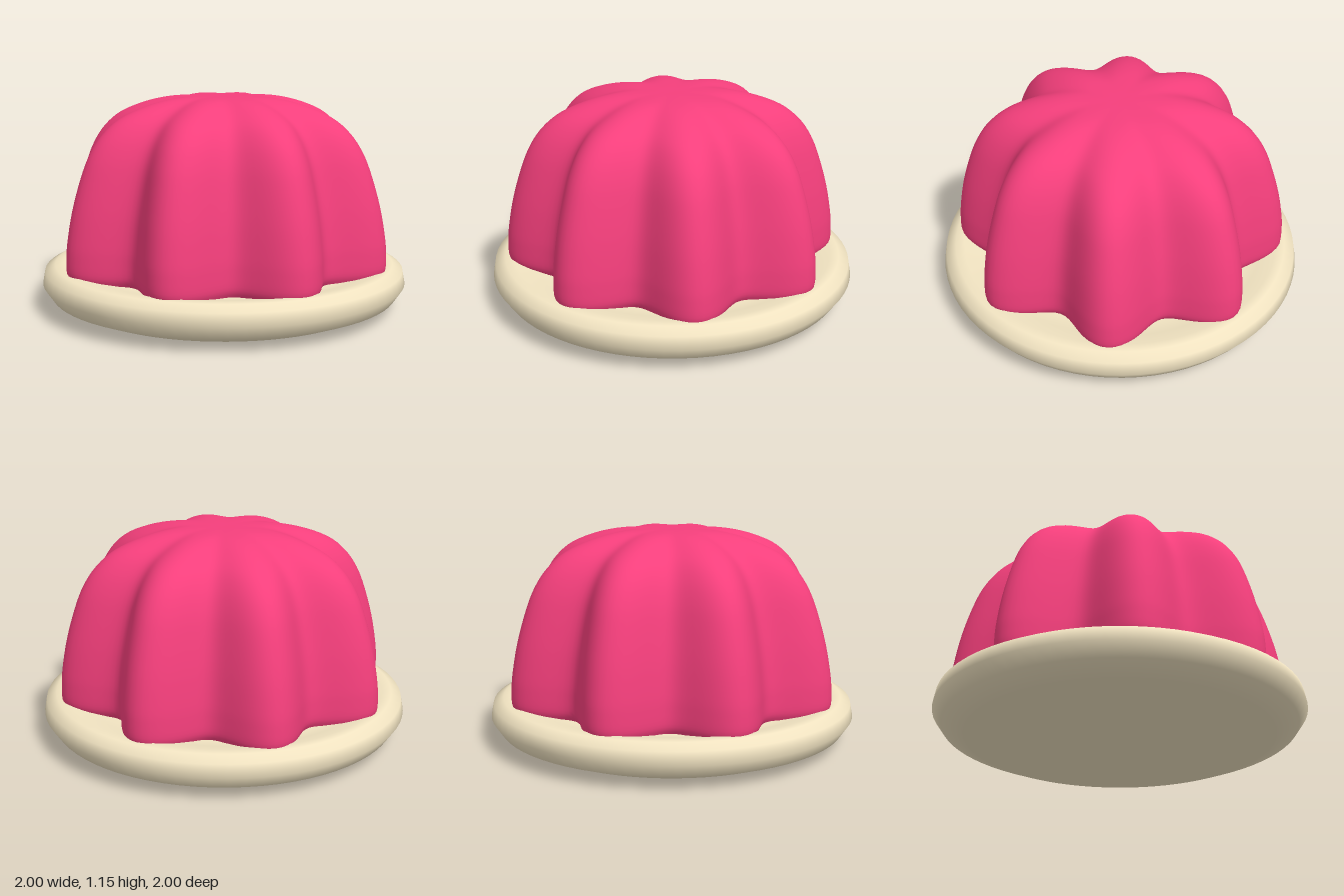
import * as THREE from 'three';
import { mergeVertices } from 'three/addons/utils/BufferGeometryUtils.js';

const points = (list) => list.map(([r, y]) => new THREE.Vector2(r, y));

// Lathe with welded seam and smooth normals; radiusRule scales the radius by angle
function turned(profile, segments, radiusRule = () => 1) {
  let geometry = new THREE.LatheGeometry(profile, segments);
  const pos = geometry.attributes.position;
  for (let i = 0; i < pos.count; i++) {
    const x = pos.getX(i), z = pos.getZ(i);
    const k = radiusRule(Math.atan2(x, z));
    pos.setX(i, x * k);
    pos.setZ(i, z * k);
  }
  geometry.deleteAttribute('uv');
  geometry.deleteAttribute('normal');
  geometry = mergeVertices(geometry, 1e-5);
  geometry.computeVertexNormals();
  return geometry;
}

function addPart(group, name, geometry, color) {
  const mesh = new THREE.Mesh(
    geometry,
    new THREE.MeshStandardMaterial({ color, side: THREE.DoubleSide })
  );
  mesh.name = name;
  group.add(mesh);
}

export function createModel() {
  const group = new THREE.Group();
  group.name = 'jellyOnPlate';

  // Shallow dished plate with a rounded rim
  const plate = points([
    [0, 0], [0.4, 0.01], [0.83, 0.022], [0.95, 0.07], [0.998, 0.14],
    [0.985, 0.21], [0.93, 0.24], [0.88, 0.242], [0.8, 0.222], [0.7, 0.205], [0, 0.2],
  ]);
  addPart(group, 'plate', turned(plate, 72), 0xf2e4c2);

  // Moulded jelly dome: lobe-tip profile, pinched into eight rounded flutes
  const dome = new THREE.SplineCurve(points([
    [0.885, 0.21], [0.907, 0.25], [0.908, 0.33], [0.9, 0.42], [0.87, 0.58],
    [0.82, 0.75], [0.77, 0.87], [0.7, 0.97], [0.6, 1.05], [0.45, 1.11],
    [0.3, 1.142], [0.15, 1.15], [0, 1.15],
  ])).getPoints(48);
  dome[dome.length - 1].x = 0;
  const flutes = (angle) => 0.895 + 0.105 * Math.cos(8 * angle);
  addPart(group, 'jelly', turned(dome, 160, flutes), 0xf53f7c);

  return group;
}
